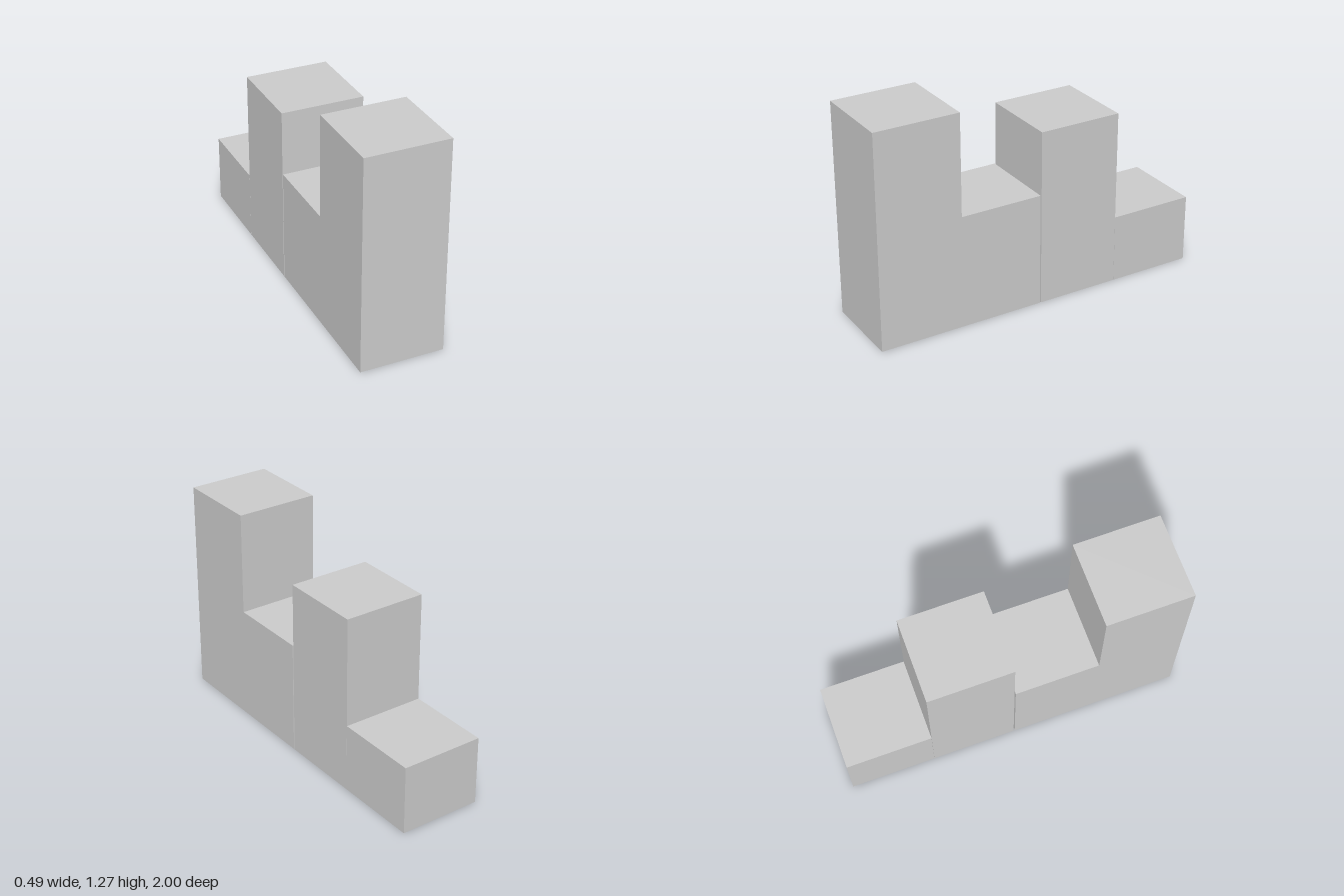
import * as THREE from 'three';

const WIDTH = 0.49;

export function createModel() {
  const group = new THREE.Group();
  const material = new THREE.MeshStandardMaterial({ color: 0xcccccc, flatShading: true });

  // Side profile in (z, y), extruded across the width
  function addBlock(name, profile) {
    const shape = new THREE.Shape(profile.map(([z, y]) => new THREE.Vector2(-z, y)));
    const geometry = new THREE.ExtrudeGeometry(shape, { depth: WIDTH, bevelEnabled: false });
    geometry.translate(0, 0, -WIDTH / 2);
    geometry.rotateY(Math.PI / 2);
    const mesh = new THREE.Mesh(geometry, material);
    mesh.name = name;
    group.add(mesh);
  }

  const rectangle = (front, back, height) => [[front, 0], [back, 0], [back, height], [front, height]];

  // Front tower and its lower step form one L-shaped block
  addBlock('frontSteppedBlock', [[1, 0], [0.007, 0], [0.007, 0.672], [0.5, 0.672], [0.5, 1.273], [1, 1.273]]);

  // Second tower, set off by a hairline gap, and the low block behind it
  addBlock('middleTower', rectangle(0, -0.496, 1.047));
  addBlock('rearLowBlock', rectangle(-0.497, -1, 0.405));

  return group;
}
